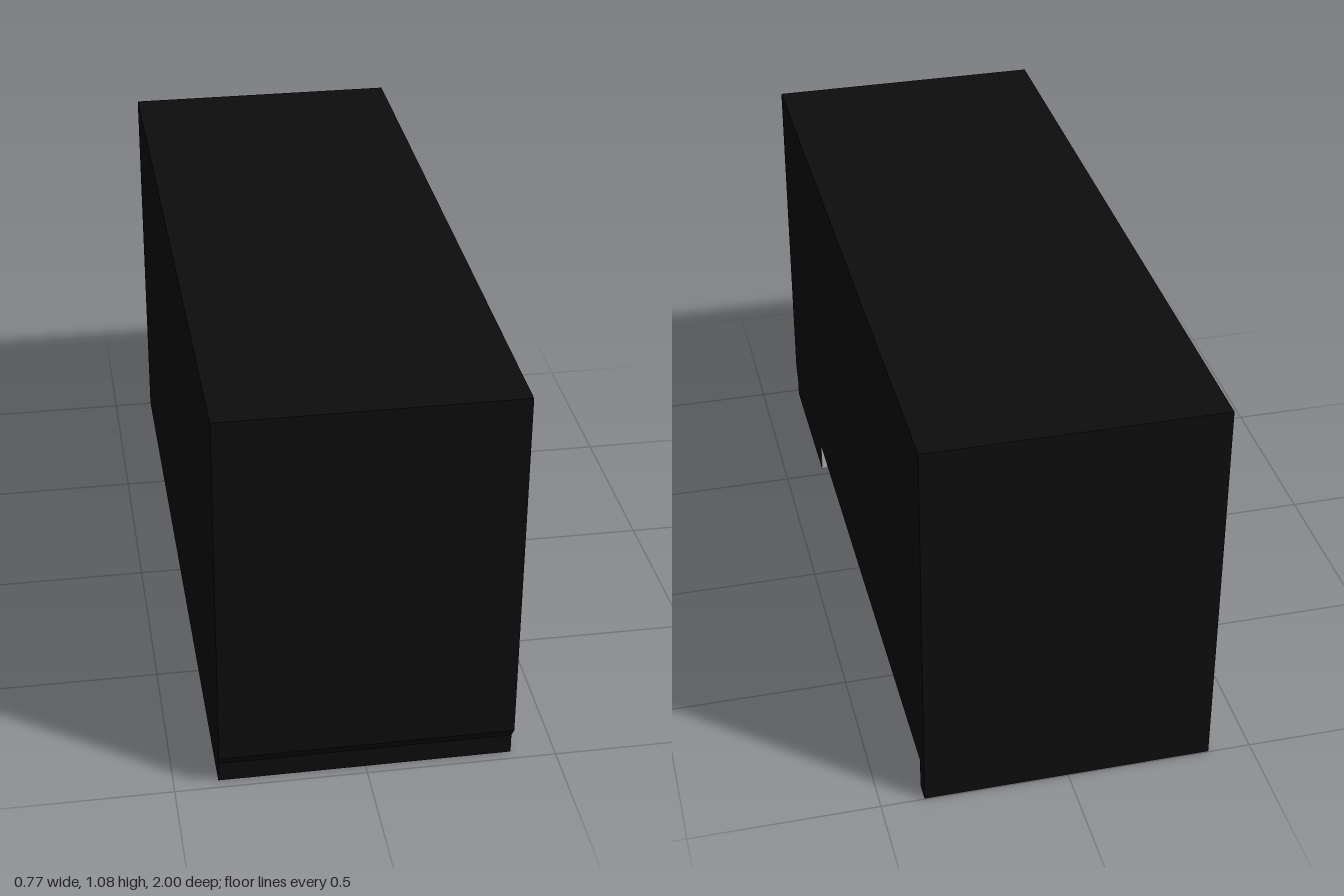
import * as THREE from 'three';

export function createModel() {
  const group = new THREE.Group();
  group.name = 'cabinet';

  const mat = (name, color) => {
    const m = new THREE.MeshStandardMaterial({ color });
    m.name = name;
    return m;
  };
  const black = mat('black', 0x0d0d0d);
  const deepBlack = mat('deep black', 0x060606);
  const charcoal = mat('charcoal', 0x2a2a2a);
  const lightGrey = mat('light grey', 0xb6b6b6);

  // Box given by its limits on each axis
  const box = (name, material, [x0, x1], [y0, y1], [z0, z1]) => {
    const mesh = new THREE.Mesh(new THREE.BoxGeometry(x1 - x0, y1 - y0, z1 - z0), material);
    mesh.position.set((x0 + x1) / 2, (y0 + y1) / 2, (z0 + z1) / 2);
    mesh.name = name;
    group.add(mesh);
  };

  const W = 0.385, H = 1.08, base = 0.09;
  const cutFront = 0.53, cutBack = -0.95, thin = 0.002;

  // Side profile (z, y): toe recess at the front, raised underside between the ends
  const profile = new THREE.Shape([
    [-1, 0], [cutBack, 0], [cutBack, base], [cutFront, base], [cutFront, 0],
    [0.975, 0], [0.975, 0.055], [1, base], [1, H], [-1, H],
  ].map(([z, y]) => new THREE.Vector2(z, y)));
  const geo = new THREE.ExtrudeGeometry(profile, { depth: 2 * W, bevelEnabled: false });
  geo.rotateY(-Math.PI / 2).translate(W, 0, 0);
  const body = new THREE.Mesh(geo, black);
  body.name = 'body';
  group.add(body);

  // Lengthwise runners, split by a cross slot; the outermost one is a closed side
  const pitch = W / 2, runner = pitch / 2, slot = [-0.245, -0.17];
  for (let i = 0; i < 4; i++) {
    const right = W - runner - i * pitch;
    const xs = [right - runner, right];
    const gap = [right, right + runner];
    if (i < 3) {
      box('runnerBack', black, xs, [0, base], [cutBack, slot[0]]);
      box('runnerFront', black, xs, [0, base], [slot[1], cutFront]);
    } else {
      box('closedSideRunner', black, xs, [0, base], [cutBack, cutFront]);
      box('slotEnd', deepBlack, [right, right + thin], [0, base], slot);
    }
    // Channel ceilings and the pale end face of each channel
    box('channelCeilingBack', charcoal, gap, [base - thin, base], [cutBack, slot[0]]);
    box('channelCeilingFront', charcoal, gap, [base - thin, base], [slot[1], cutFront - thin]);
    box('channelEnd', lightGrey, gap, [0, base], [cutFront - thin, cutFront]);
  }
  box('slotCeiling', deepBlack, [-W + runner, W], [base - thin, base], slot);

  // Pale plate under the front foot
  box('footPlate', lightGrey, [-W, W], [-thin, 0], [cutFront, 0.93]);

  group.position.y = thin;
  const root = new THREE.Group();
  root.name = 'model';
  root.add(group);
  return root;
}
